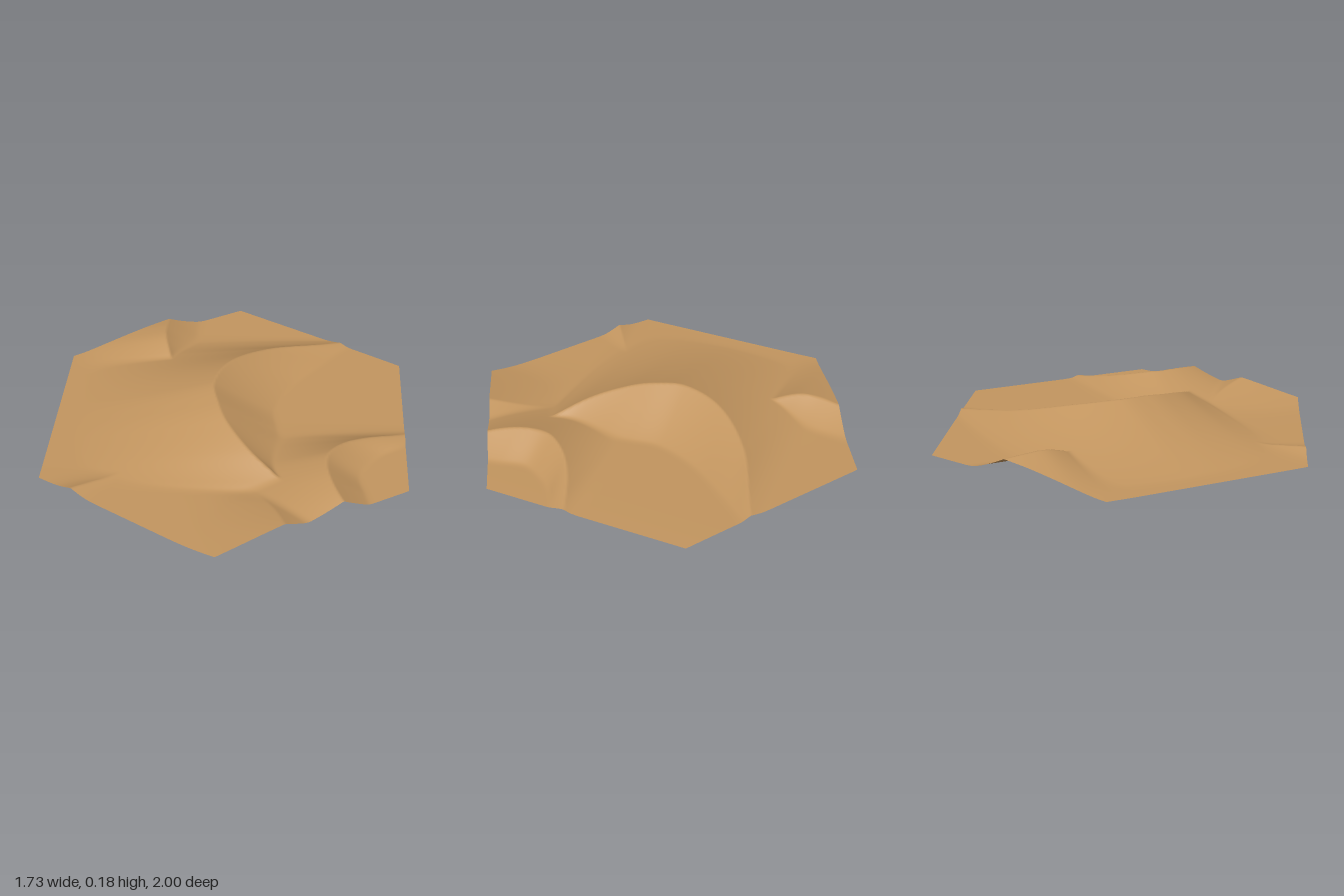
import * as THREE from 'three';

// Each dune: toe = where the windward slope starts,
// rows = [z, crest x, foot-of-slip-face x, crest height]
const dunes = [
  { // large central dune
    toe: -0.85,
    rows: [
      [-0.74, 0.68, 0.74, 0], [-0.64, 0.48, 0.62, 0.037], [-0.5, 0.2, 0.5, 0.1], [-0.3, 0, 0.34, 0.16],
      [-0.08, -0.08, 0.25, 0.182], [0.08, -0.05, 0.27, 0.172], [0.2, 0, 0.3, 0.15],
      [0.36, 0.12, 0.31, 0.105], [0.5, 0.28, 0.31, 0.04], [0.57, 0.33, 0.35, 0],
    ],
  },
  { // right dune
    toe: 0.05,
    rows: [
      [0.02, 1.05, 1.15, 0], [0.1, 0.86, 1.0, 0.022], [0.17, 0.7, 0.9, 0.055], [0.25, 0.58, 0.77, 0.085],
      [0.35, 0.5, 0.69, 0.108], [0.43, 0.48, 0.66, 0.112], [0.55, 0.5, 0.69, 0.107],
      [0.68, 0.56, 0.72, 0.085], [0.85, 0.68, 0.75, 0.03],
    ],
  },
  { // back left dune
    toe: -0.95,
    rows: [
      [-0.95, -0.38, -0.18, 0.06], [-0.78, -0.38, -0.19, 0.083], [-0.68, -0.385, -0.2, 0.096],
      [-0.58, -0.375, -0.23, 0.096], [-0.48, -0.345, -0.27, 0.066], [-0.4, -0.32, -0.295, 0.025],
      [-0.35, -0.31, -0.29, 0],
    ],
  },
  { // low front dune
    toe: -0.22,
    rows: [
      [0.52, 0.12, 0.4, 0], [0.65, 0.22, 0.5, 0.038], [0.83, 0.3, 0.58, 0.075], [1.02, 0.35, 0.65, 0.095],
    ],
  },
  { // small front left dune
    toe: -0.95,
    rows: [
      [0.42, -0.45, -0.43, 0], [0.5, -0.56, -0.5, 0.018], [0.6, -0.7, -0.55, 0.038], [0.72, -0.85, -0.6, 0.05],
    ],
  },
];

// Smooth interpolation of one column of the rows
function sample(rows, z, col) {
  const last = rows.length - 1;
  if (z <= rows[0][0]) return rows[0][col];
  if (z >= rows[last][0]) return rows[last][col];
  let i = 0;
  while (z > rows[i + 1][0]) i++;
  const slope = (k) => {
    const a = rows[Math.max(k - 1, 0)], b = rows[Math.min(k + 1, last)];
    return (b[col] - a[col]) / (b[0] - a[0]);
  };
  const d = rows[i + 1][0] - rows[i][0];
  const t = (z - rows[i][0]) / d, t2 = t * t, t3 = t2 * t;
  return (2 * t3 - 3 * t2 + 1) * rows[i][col] + (t3 - 2 * t2 + t) * d * slope(i)
    + (3 * t2 - 2 * t3) * rows[i + 1][col] + (t3 - t2) * d * slope(i + 1);
}

// Long windward rise to the crest, then a short slip face
function duneHeight({ toe, rows }, x, z) {
  const crest = sample(rows, z, 1);
  const foot = Math.max(sample(rows, z, 2), crest + 0.02);
  const h = Math.max(sample(rows, z, 3), 0);
  if (x <= toe || x >= foot) return 0;
  if (x < crest) return h * Math.pow((x - toe) / (crest - toe), 1.3);
  return h * Math.pow((foot - x) / (foot - crest), 1.2);
}

// Rounded maximum, so dunes blend where they meet
function blend(a, b) {
  const k = 0.012;
  const m = Math.max(k - Math.abs(a - b), 0) / k;
  return Math.max(a, b) + m * m * k * 0.25;
}

function groundHeight(x, z) {
  const base = 0.002 + 0.014 * THREE.MathUtils.smoothstep(x, -0.3, 0.8);
  return base + dunes.reduce((y, dune) => blend(y, duneHeight(dune, x, z)), 0);
}

// Hexagonal sheet on a triangular lattice
function hexSheet(n) {
  const positions = [], indices = [], ids = new Map();
  const id = (q, r) => ids.get(q + ',' + r);
  for (let q = -n; q <= n; q++) {
    for (let r = Math.max(-n, -n - q); r <= Math.min(n, n - q); r++) {
      const x = (q / n) * Math.sqrt(3) / 2;
      const z = (r + q / 2) / n;
      ids.set(q + ',' + r, positions.length / 3);
      positions.push(x, groundHeight(x, z), z);
    }
  }
  const face = (a, b, c) => {
    if (a !== undefined && b !== undefined && c !== undefined) indices.push(a, b, c);
  };
  for (let q = -n; q <= n; q++) {
    for (let r = -n; r <= n; r++) {
      face(id(q, r), id(q, r + 1), id(q + 1, r));
      face(id(q + 1, r), id(q, r + 1), id(q + 1, r + 1));
    }
  }
  const geometry = new THREE.BufferGeometry();
  geometry.setAttribute('position', new THREE.Float32BufferAttribute(positions, 3));
  geometry.setIndex(indices);
  geometry.computeVertexNormals();
  return geometry;
}

export function createModel() {
  const group = new THREE.Group();
  group.name = 'desertTile';
  const sand = new THREE.MeshStandardMaterial({ color: 0xc2955f, side: THREE.DoubleSide });
  sand.name = 'sand';
  const mesh = new THREE.Mesh(hexSheet(100), sand);
  mesh.name = 'sandDunes';
  group.add(mesh);
  return group;
}
